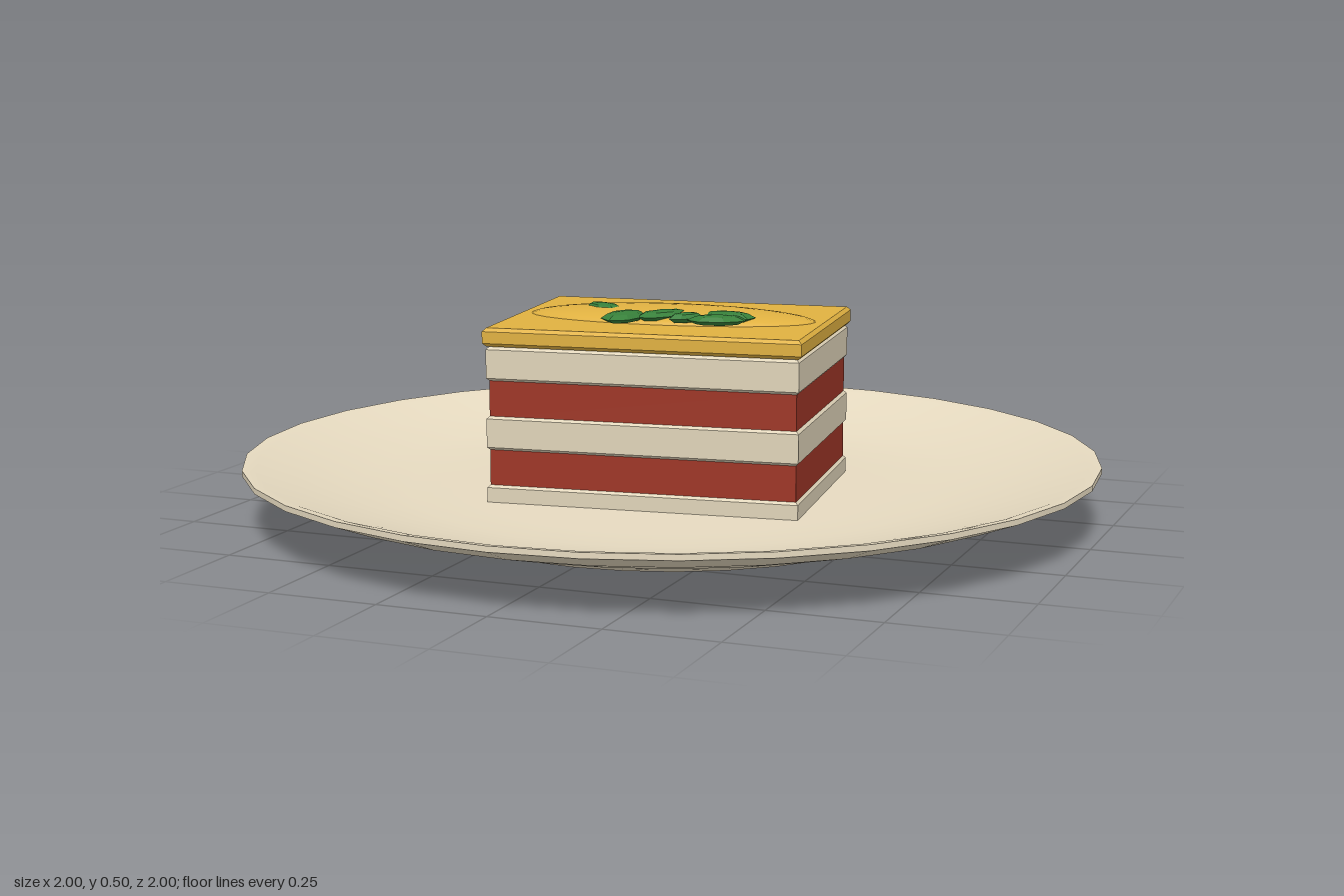
import * as THREE from 'three';

const mat = (name, color, side = THREE.FrontSide) => {
  const m = new THREE.MeshStandardMaterial({ color, side });
  m.name = name;
  return m;
};

export function createModel() {
  const plateMat = mat('plate cream', 0xe6dac0, THREE.DoubleSide);
  const creamMat = mat('filling cream', 0xe0d4b9);
  const spongeMat = mat('red sponge', 0x9e3626);
  const icingMat = mat('golden icing', 0xe0b141);
  const leafMat = mat('leaf green', 0x37803a);
  leafMat.flatShading = true;

  const model = new THREE.Group();
  model.name = 'cakeSliceOnPlate';
  const add = (parent, name, geometry, material) => {
    const mesh = new THREE.Mesh(geometry, material);
    mesh.name = name;
    parent.add(mesh);
    return mesh;
  };

  // Plate: separate turned surfaces keep the rim crisp
  const plate = new THREE.Group();
  plate.name = 'plate';
  model.add(plate);
  const turned = (name, profile) => add(plate, name,
    new THREE.LatheGeometry(profile.map(([r, y]) => new THREE.Vector2(r, y)), 32), plateMat);
  turned('plateUnderside', [[0, 0], [0.57, 0], [0.6, 0.015], [0.75, 0.052], [0.9, 0.093], [1, 0.132]]);
  turned('plateRim', [[1, 0.132], [1, 0.145]]);
  turned('plateTop', [[1, 0.145], [0.97, 0.14], [0.88, 0.112], [0.74, 0.08], [0.62, 0.066], [0.5, 0.064], [0, 0.064]]);

  // Cake slice, turned a little on the plate
  const slice = new THREE.Group();
  slice.name = 'cakeSlice';
  slice.rotation.y = 0.115;
  model.add(slice);

  // Rectangular layer with bevelled top and bottom edges
  const layer = (name, w, d, y0, y1, bevel, material) => {
    const x = w / 2 - bevel, z = d / 2 - bevel;
    const outline = new THREE.Shape([[-x, -z], [x, -z], [x, z], [-x, z]].map(p => new THREE.Vector2(...p)));
    const g = new THREE.ExtrudeGeometry(outline, {
      depth: y1 - y0 - 2 * bevel, bevelThickness: bevel, bevelSize: bevel, bevelSegments: 1,
    });
    g.rotateX(-Math.PI / 2).translate(0, y0 + bevel, 0);
    add(slice, name, g, material);
  };
  for (let i = 0; i < 3; i++) {
    const y = 0.025 + i * 0.16;
    layer('creamLayer' + (i + 1), 0.727, 0.552, y, y + 0.08, 0.007, creamMat);
    if (i < 2) {
      const sponge = add(slice, 'spongeLayer' + (i + 1), new THREE.BoxGeometry(0.715, 0.54, 0.09), spongeMat);
      sponge.geometry.rotateX(Math.PI / 2);
      sponge.position.y = y + 0.12;
    }
  }
  layer('icingLayer', 0.74, 0.564, 0.425, 0.468, 0.008, icingMat);

  // Low swell of icing along the top
  const swell = add(slice, 'icingSwell', new THREE.SphereGeometry(1, 32, 16), icingMat);
  swell.scale.set(0.345, 0.03, 0.135);
  swell.position.y = 0.465;

  // Herb leaves: x, z, half length, half width, turn
  const leaves = [
    [-0.16, 0.027, 0.064, 0.033, -0.55],
    [-0.062, 0.143, 0.075, 0.045, 1.5],
    [0.012, 0.086, 0.074, 0.036, 1.0],
    [0.076, 0.107, 0.046, 0.026, 1.0],
    [0.163, 0.056, 0.068, 0.04, -0.2],
    [0.158, 0.118, 0.07, 0.038, 0.35],
  ];
  leaves.forEach(([x, z, length, width, turn], i) => {
    const leaf = add(model, 'leaf' + (i + 1), new THREE.SphereGeometry(1, 7, 4), leafMat);
    leaf.scale.set(length, 0.013, width);
    leaf.position.set(x, 0.485, z);
    leaf.rotation.y = turn;
  });

  return model;
}
